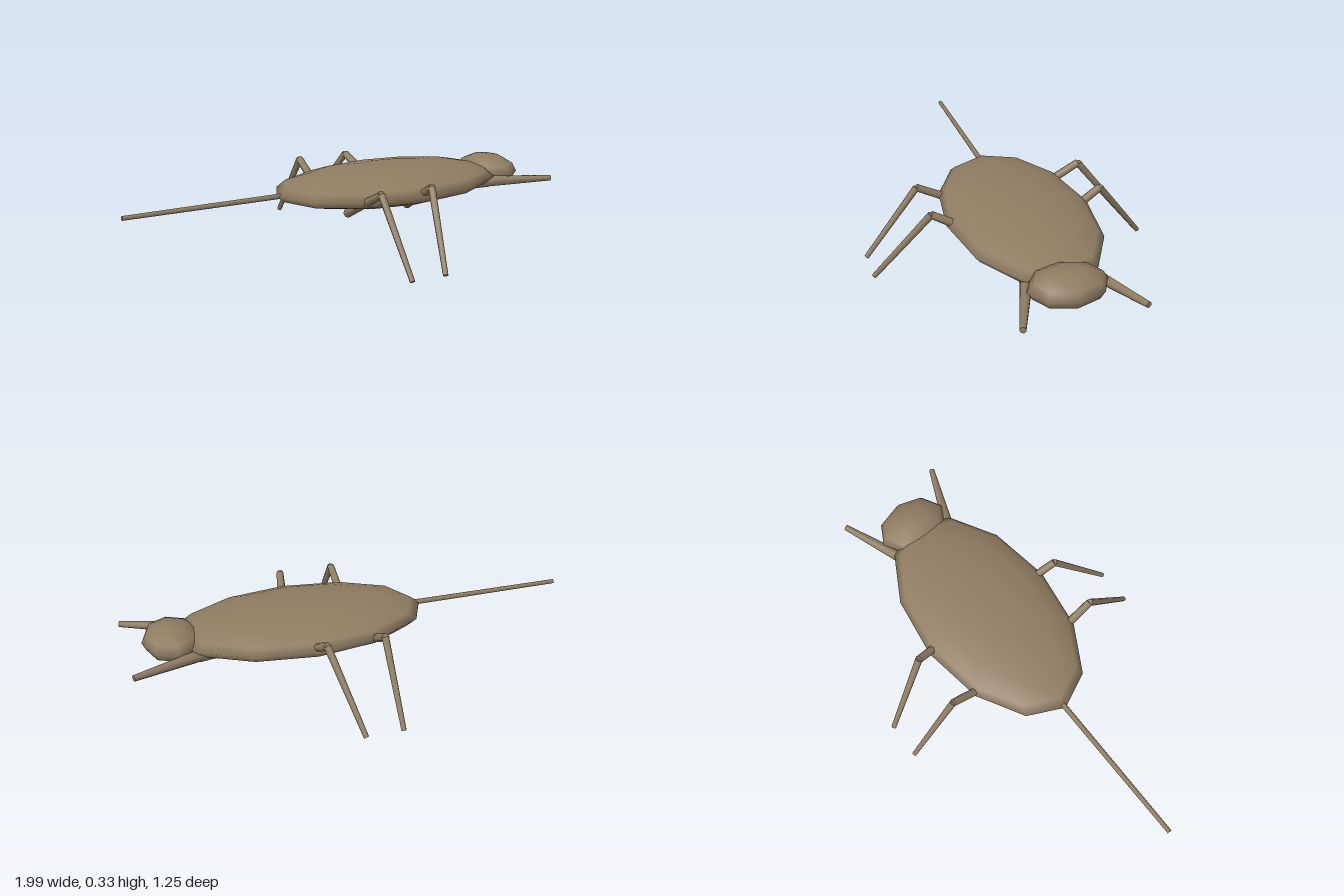
import * as THREE from 'three';

export function createModel() {
  const model = new THREE.Group();
  model.name = 'waterInsect';
  const shell = new THREE.MeshStandardMaterial({ color: 0x8f7c62 });
  shell.name = 'brown shell';

  const add = (geometry, name, parent = model) => {
    const mesh = new THREE.Mesh(geometry, shell);
    mesh.name = name;
    parent.add(mesh);
    return mesh;
  };

  // Flattened low-sided ellipsoid
  const ellipsoid = (name, center, radii, sides, rings) => {
    const mesh = add(new THREE.SphereGeometry(1, sides, rings), name);
    mesh.position.set(...center);
    mesh.scale.set(...radii);
  };

  // Tapered rod from point a to point b
  const rod = (name, a, b, ra, rb, parent) => {
    const start = new THREE.Vector3(...a);
    const end = new THREE.Vector3(...b);
    const dir = end.clone().sub(start);
    const mesh = add(new THREE.CylinderGeometry(rb, ra, dir.length(), 8), name, parent);
    mesh.position.copy(start).add(end).multiplyScalar(0.5);
    mesh.quaternion.setFromUnitVectors(new THREE.Vector3(0, 1, 0), dir.normalize());
  };

  // Body, head and breathing tube
  ellipsoid('body', [0.24, 0.255, 0], [0.56, 0.08, 0.315], 12, 8);
  ellipsoid('head', [0.8, 0.255, 0], [0.125, 0.07, 0.165], 8, 6);
  rod('tailTube', [-0.3, 0.256, 0], [-1, 0.256, 0], 0.012, 0.01);

  for (const s of [1, -1]) {
    const side = s > 0 ? 'right' : 'left';

    // Grasping foreleg
    const foreleg = new THREE.Group();
    foreleg.name = side + 'Foreleg';
    model.add(foreleg);
    rod('forelegBase', [0.58, 0.22, s * 0.1], [0.71, 0.226, s * 0.132], 0.026, 0.026, foreleg);
    rod('forelegClaw', [0.7, 0.228, s * 0.13], [0.99, 0.235, s * 0.246], 0.026, 0.013, foreleg);

    // Walking legs: [name, hip x, knee x, foot x]
    for (const [name, hip, knee, foot] of [
      ['MiddleLeg', 0.285, 0.228, 0.143],
      ['HindLeg', -0.022, -0.02, -0.017],
    ]) {
      const leg = new THREE.Group();
      leg.name = side + name;
      model.add(leg);
      const joint = [knee, 0.313, s * 0.375];
      rod('upperLeg', [hip, 0.165, s * 0.095], joint, 0.021, 0.017, leg);
      rod('lowerLeg', joint, [foot, 0.009, s * 0.614], 0.016, 0.011, leg);
    }
  }
  return model;
}
